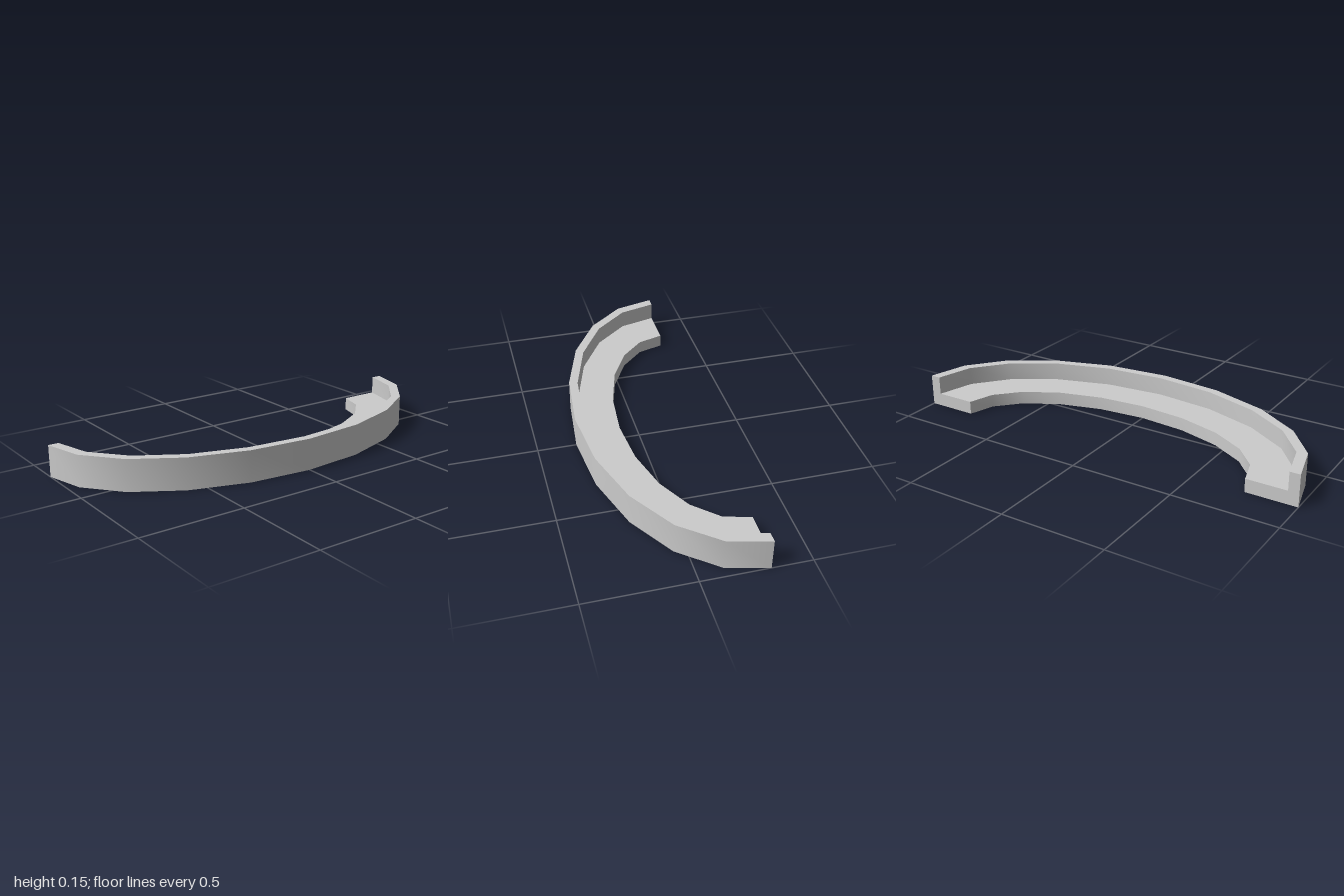
import * as THREE from 'three';
import { toCreasedNormals } from 'three/addons/utils/BufferGeometryUtils.js';

const STEPS = 10;        // facets along the half ellipse
const END_X = -0.3125;   // plane of the two cut ends
const RIM_TOP = 0.1525, SHELF_TOP = 0.064;

// L-shaped cross-section: [x radius, z radius, height]
const SECTION = [
  [0.625, 1.0, 0],
  [0.625, 1.0, RIM_TOP],
  [0.583, 0.95, RIM_TOP],
  [0.583, 0.95, SHELF_TOP],
  [0.41, 0.755, SHELF_TOP],
  [0.41, 0.755, 0],
];

function curvedLedgeGeometry() {
  const n = SECTION.length, positions = [], index = [];

  // sweep the section round half an ellipse
  for (let i = 0; i <= STEPS; i++) {
    const angle = (i / STEPS - 0.5) * Math.PI;
    for (const [rx, rz, y] of SECTION) {
      positions.push(END_X + rx * Math.cos(angle), y, rz * Math.sin(angle));
    }
  }
  for (let i = 0; i < STEPS; i++) {
    for (let k = 0; k < n; k++) {
      const a = i * n + k, b = i * n + (k + 1) % n;
      index.push(a, b, b + n, a, b + n, a + n);
    }
  }

  // flat caps on both ends
  const last = STEPS * n;
  for (let k = 1; k < n - 1; k++) {
    index.push(0, k + 1, k);
    index.push(last, last + k, last + k + 1);
  }

  const geometry = new THREE.BufferGeometry();
  geometry.setAttribute('position', new THREE.Float32BufferAttribute(positions, 3));
  geometry.setIndex(index);
  return toCreasedNormals(geometry, 0.6);
}

export function createModel() {
  const group = new THREE.Group();
  group.name = 'curvedLedge';
  const ledge = new THREE.Mesh(
    curvedLedgeGeometry(),
    new THREE.MeshStandardMaterial({ color: 0xcccccc })
  );
  ledge.name = 'rimmedShelf';
  group.add(ledge);
  return group;
}
